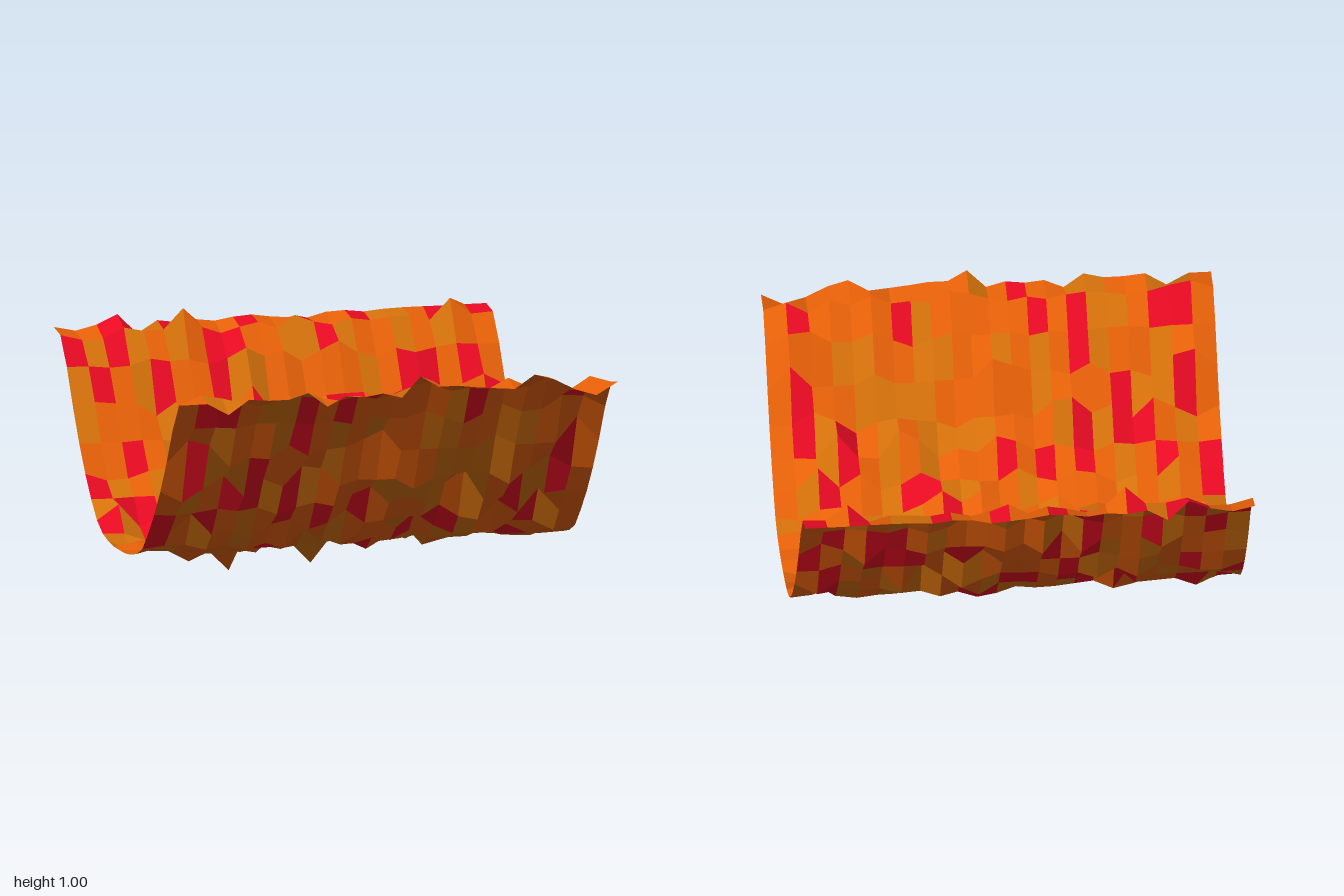
import * as THREE from 'three';

const CELLS = 22;
const PALETTE = [
  { name: 'orangePatches', color: 0xe66008, share: 0.5 },
  { name: 'amberPatches', color: 0xd4700a, share: 0.26 },
  { name: 'redPatches', color: 0xe60a22, share: 0.24 },
];

// Cross-section from back to front: [z, height, deepest dip, highest bump]
const PROFILE = [
  [-1.01, 0.93, 0.84, 0.96], [-0.9, 0.91, 0.87, 0.95], [-0.8, 0.78, 0.73, 0.85],
  [-0.71, 0.62, 0.54, 0.70], [-0.62, 0.48, 0.43, 0.58], [-0.53, 0.36, 0.29, 0.50],
  [-0.43, 0.25, 0.18, 0.38], [-0.34, 0.17, 0.11, 0.35], [-0.26, 0.13, 0.07, 0.23],
  [-0.17, 0.11, 0.06, 0.28], [-0.08, 0.10, 0.05, 0.21], [0, 0.10, 0.06, 0.19],
  [0.08, 0.10, 0.05, 0.21], [0.17, 0.11, 0.05, 0.19], [0.26, 0.13, 0.09, 0.20],
  [0.35, 0.17, 0.14, 0.33], [0.43, 0.25, 0.18, 0.40], [0.53, 0.36, 0.29, 0.52],
  [0.62, 0.48, 0.41, 0.57], [0.71, 0.62, 0.55, 0.74], [0.8, 0.78, 0.72, 0.88],
  [0.9, 0.91, 0.86, 0.96], [1.01, 0.93, 0.87, 0.97],
];

// Standout peaks and pits: [column, row, height]
const ACCENTS = [
  [5, 12, 0], [9, 13, 0.03], [7, 10, 0.04], [3, 12, 0.05],
  [12, 22, 1], [18, 22, 0.98], [3, 0, 0.97], [6, 1, 1], [20, 1, 0.98],
];

function seeded(seed) {
  return () => {
    seed = (seed + 0x6d2b79f5) | 0;
    let t = Math.imul(seed ^ (seed >>> 15), 1 | seed);
    t = (t + Math.imul(t ^ (t >>> 7), 61 | t)) ^ t;
    return ((t ^ (t >>> 14)) >>> 0) / 4294967296;
  };
}

// Grid lines lie slightly closer together near the middle
function gridLine(i) {
  const u = (2 * i) / CELLS - 1;
  return 0.94 * u + 0.06 * u ** 3;
}

function profileAt(z) {
  const k = PROFILE.findIndex((p) => p[0] > z);
  const a = PROFILE[k - 1], b = PROFILE[k];
  const t = (z - a[0]) / (b[0] - a[0]);
  return [1, 2, 3].map((n) => THREE.MathUtils.lerp(a[n], b[n], t));
}

export function createModel() {
  const group = new THREE.Group();
  group.name = 'valleyTerrain';
  const random = seeded(17);

  // Rough interior, smooth left and right borders
  const points = [];
  for (let row = 0; row <= CELLS; row++) {
    const z = gridLine(row);
    const [height, low, high] = profileAt(z);
    for (let col = 0; col <= CELLS; col++) {
      const r = random() * 2 - 1;
      const rough = col === 0 || col === CELLS ? 0 : Math.abs(r) ** 2.8;
      const y = THREE.MathUtils.lerp(height, r < 0 ? low : high, rough);
      points.push(new THREE.Vector3(gridLine(col), y, z));
    }
  }
  for (const [col, row, y] of ACCENTS) points[row * (CELLS + 1) + col].y = y;

  // Each square of the ground takes one colour and one facing
  const patches = PALETTE.map(() => ({ corners: [], normals: [] }));
  for (let row = 0; row < CELLS; row++) {
    for (let col = 0; col < CELLS; col++) {
      let pick = random(), index = 0;
      while (index < PALETTE.length - 1 && pick > PALETTE[index].share) pick -= PALETTE[index++].share;
      const start = row * (CELLS + 1) + col;
      const [a, b, c, d] = [0, 1, CELLS + 1, CELLS + 2].map((n) => points[start + n]);
      const normal = d.clone().sub(a).cross(b.clone().sub(c)).normalize();
      for (const corner of [a, c, b, c, d, b]) {
        patches[index].corners.push(corner);
        patches[index].normals.push(...normal.toArray());
      }
    }
  }

  PALETTE.forEach(({ name, color }, i) => {
    const geometry = new THREE.BufferGeometry().setFromPoints(patches[i].corners);
    geometry.setAttribute('normal', new THREE.Float32BufferAttribute(patches[i].normals, 3));
    const material = new THREE.MeshStandardMaterial({ color, side: THREE.DoubleSide });
    const mesh = new THREE.Mesh(geometry, material);
    mesh.name = name;
    group.add(mesh);
  });
  return group;
}
